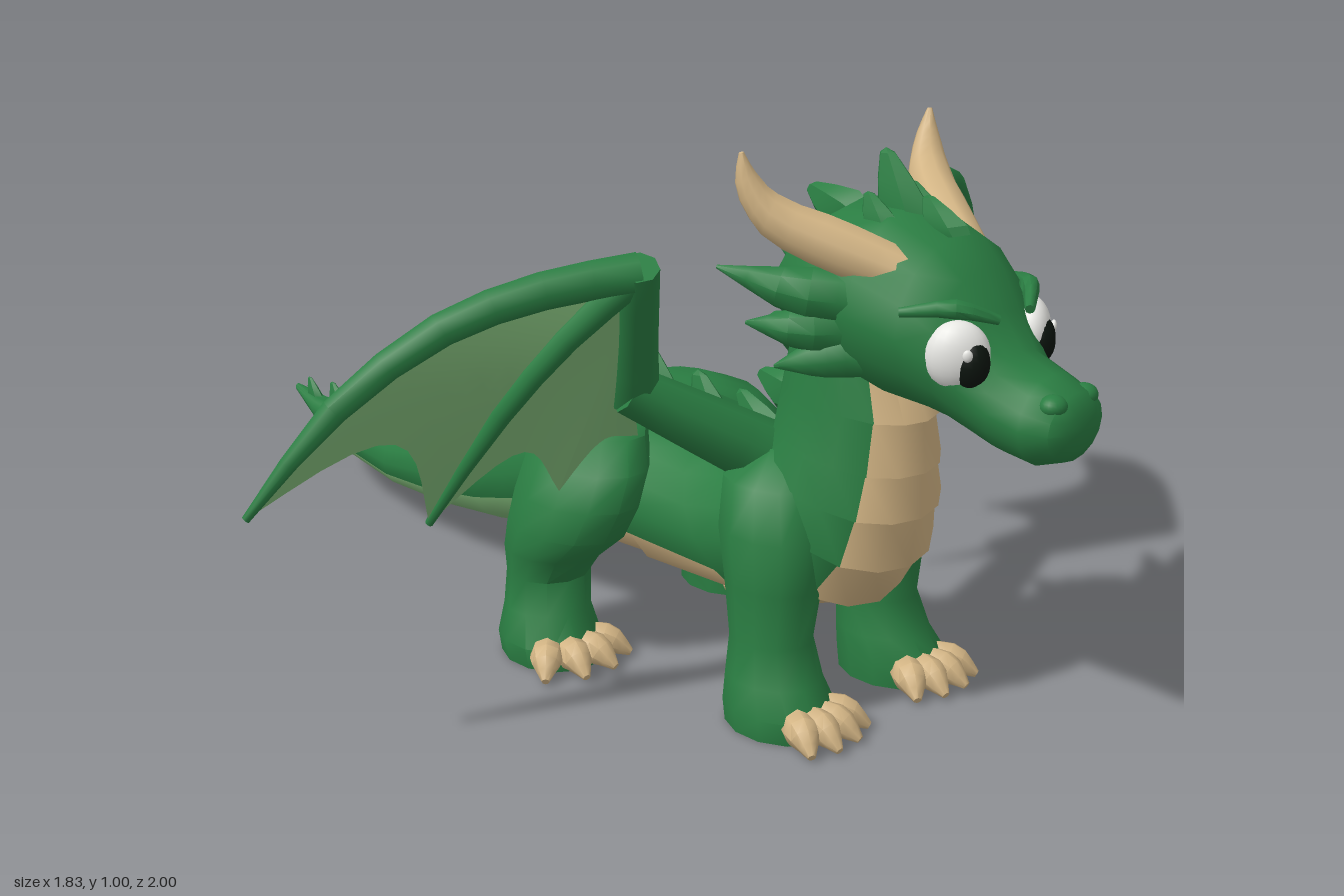
import * as THREE from 'three';
import { toCreasedNormals } from 'three/addons/utils/BufferGeometryUtils.js';

const V = (x, y, z) => new THREE.Vector3(x, y, z);
const paint = (name, color, extra = {}) => {
  const m = new THREE.MeshStandardMaterial({ color, ...extra });
  m.name = name;
  return m;
};

export function createModel() {
  const model = new THREE.Group();
  model.name = 'dragon';
  const green = paint('scale green', 0x2a7d42);
  const tan = paint('horn tan', 0xd2b484);
  const pale = paint('membrane green', 0x82ba7a, { side: THREE.DoubleSide });
  const white = paint('eye white', 0xe8e8e4);
  const dark = paint('pupil black', 0x0c140e);

  function add(name, geo, mat, parent = model) {
    const mesh = new THREE.Mesh(geo, mat);
    mesh.name = name;
    parent.add(mesh);
    return mesh;
  }

  // Closed skin through rings of points; pick(i, j) gives the material index of a face.
  function loft(rings, pick = () => 0) {
    const n = rings[0].length, tris = [];
    const tri = (a, b, c, m) => {
      const area = b.clone().sub(a).cross(c.clone().sub(a)).length();
      if (area > 1e-9) tris.push({ p: [a, b, c], m });
    };
    for (let i = 0; i < rings.length - 1; i++) for (let j = 0; j < n; j++) {
      const k = (j + 1) % n, r = rings[i], s = rings[i + 1], m = pick(i, j);
      tri(r[j], r[k], s[k], m);
      tri(r[j], s[k], s[j], m);
    }
    for (const end of [0, rings.length - 1]) {
      const r = rings[end], c = V(0, 0, 0);
      r.forEach(p => c.addScaledVector(p, 1 / n));
      for (let j = 0; j < n; j++) {
        const k = (j + 1) % n;
        if (end) tri(c, r[j], r[k], 0); else tri(c, r[k], r[j], 0);
      }
    }
    const o = rings[0][0];
    let volume = 0;
    for (const { p: [a, b, c] } of tris) {
      volume += a.clone().sub(o).dot(b.clone().sub(o).cross(c.clone().sub(o)));
    }
    tris.sort((a, b) => a.m - b.m);
    const pts = tris.flatMap(({ p }) => volume < 0 ? [p[0], p[2], p[1]] : p);
    const geo = new THREE.BufferGeometry().setFromPoints(pts);
    for (let m = 0; m < 3; m++) {
      const first = tris.findIndex(t => t.m === m);
      if (first >= 0) geo.addGroup(first * 3, tris.filter(t => t.m === m).length * 3, m);
    }
    return toCreasedNormals(geo, 0.8);
  }

  // Ring from a top point and a bottom point on the centre plane, plus a half width.
  const N = 16;
  function ring([tz, ty, bz, by, w], bulge = 1) {
    const c = V(0, (ty + by) / 2, (tz + bz) / 2), d = V(0, by, bz).sub(c), pts = [];
    for (let j = 0; j < N; j++) {
      const a = j / N * Math.PI * 2, k = Math.cos(a) > 0.7 ? bulge : 1;
      pts.push(V(Math.sin(a) * w, 0, 0).addScaledVector(d, Math.cos(a)).multiplyScalar(k).add(c));
    }
    return pts;
  }

  // Tapered limb along a curve.
  function taper(points, radii, sides = 8, steps = 8) {
    const curve = new THREE.CatmullRomCurve3(points.map(p => V(...p)));
    const { normals, binormals } = curve.computeFrenetFrames(steps);
    const rings = [];
    for (let i = 0; i <= steps; i++) {
      const t = i / steps, c = curve.getPoint(t), f = t * (radii.length - 1);
      const q = Math.min(Math.floor(f), radii.length - 2);
      const r = THREE.MathUtils.lerp(radii[q], radii[q + 1], f - q);
      rings.push(Array.from({ length: sides }, (_, j) => {
        const a = j / sides * Math.PI * 2;
        return c.clone().addScaledVector(normals[i], Math.cos(a) * r).addScaledVector(binormals[i], Math.sin(a) * r);
      }));
    }
    return loft(rings);
  }

  // Neck, torso and tail, with stepped belly plates and a pale tail underside.
  const spine = [
    [.45, .73, .66, .64, .10], [.42, .58, .695, .55, .112], [.41, .50, .695, .46, .13],
    [.39, .455, .69, .38, .15], [.36, .43, .67, .29, .165], [.31, .42, .61, .21, .17],
    [.24, .41, .44, .155, .165], [.12, .425, .2, .16, .168], [0, .445, .02, .165, .175],
    [-.08, .43, -.08, .15, .16], [-.18, .385, -.18, .12, .143], [-.29, .325, -.29, .098, .125],
    [-.45, .262, -.45, .08, .108], [-.61, .212, -.61, .075, .082], [-.8, .19, -.8, .098, .05],
    [-.92, .19, -.92, .14, .026], [-1, .2, -1, .185, .007]];
  const bodyRings = [];
  spine.forEach((s, i) => {
    if (i > 0 && i < 9) bodyRings.push(ring(s, 1.06));
    bodyRings.push(ring(s));
  });
  add('body', loft(bodyRings, (i, j) => {
    const a = Math.min(j + 0.5, N - j - 0.5);
    if (a > (i < 12 ? 2 : 3)) return 0;
    return i < 16 ? 1 : 2;
  }), [green, tan, pale]);

  // Head with snout
  const head = [[1, .64, .58, .045], [.985, .668, .557, .072], [.94, .687, .54, .087],
    [.88, .71, .548, .092], [.84, .765, .565, .114], [.8, .825, .58, .135], [.75, .87, .59, .154],
    [.66, .905, .595, .165], [.56, .9, .62, .16], [.48, .85, .66, .125], [.43, .79, .7, .07]];
  add('head', loft(head.map(([z, t, b, w]) => ring([z, t, z, b, w]))), green);

  // Dorsal spikes: leaning six-sided leaves with a steep rear
  function spike(name, x, y, z, h, w, l, tilt) {
    const profile = [[.9, -.3], [1, 0], [.66, .5], [.28, .92], [0, 1]].map(p => new THREE.Vector2(...p));
    const geo = new THREE.LatheGeometry(profile, 6).scale(w, h, l);
    const p = geo.attributes.position;
    for (let i = 0; i < p.count; i++) p.setZ(i, p.getZ(i) - p.getY(i) / h * l * 0.6);
    const mesh = add(name, toCreasedNormals(geo, 0.5), green);
    mesh.position.set(x, y, z);
    mesh.rotation.x = tilt;
  }
  [[.24, .41, .11, .065], [.1, .43, .13, .065], [-.06, .425, .075, .065], [-.25, .335, .07, .06],
    [-.4, .275, .06, .052], [-.575, .215, .06, .05], [-.75, .19, .06, .042], [-.855, .185, .05, .032],
    [-.94, .187, .04, .024]].forEach(([z, y, h, l]) => spike('backSpike', 0, y, z, h, l * .5, l, -0.1));
  [[.87, .51, .07, -.8], [.78, .46, .07, -1.1], [.64, .43, .07, -1], [.53, .41, .07, -.9], [.44, .36, .09, -.5]]
    .forEach(([y, z, h, tilt]) => spike('neckSpike', 0, y, z, h, .03, .05, tilt));
  spike('crestSpike', 0, .89, .64, .1, .035, .055, -.1);
  spike('browSpike', 0, .88, .72, .05, .025, .045, -.2);

  // Leg: ellipse sections [y, cx, cz, rx, rz] and a fan of claws
  function leg(name, s, sections, clawX, clawZ, fan) {
    const group = new THREE.Group();
    group.name = name;
    model.add(group);
    const rings = sections.map(([y, cx, cz, rx, rz]) => Array.from({ length: 12 }, (_, j) => {
      const a = (j + .5) / 12 * Math.PI * 2;
      return V(s * (cx + Math.cos(a) * rx), y, cz + Math.sin(a) * rz);
    }));
    add(name + 'Limb', loft(rings), green, group);
    for (const a of fan) {
      const at = (r, y) => [s * (clawX + Math.sin(a) * r), y, clawZ + Math.cos(a) * r];
      add('claw', taper([at(.07, .032), at(.11, .03), at(.15, .009)], [.03, .03, .007], 8, 5), tan, group);
    }
  }

  const ball = new THREE.SphereGeometry(1, 20, 14);
  function blob(name, mat, pos, size, parent) {
    const m = add(name, ball, mat, parent);
    m.position.set(...pos);
    m.scale.set(...size);
  }

  for (const s of [1, -1]) {
    const side = s > 0 ? 'left' : 'right';
    const flip = pts => pts.map(([x, y, z]) => [s * x, y, z]);

    leg(side + 'FrontLeg', s, [[0, .15, .53, .083, .1], [.04, .15, .53, .087, .105], [.085, .145, .512, .077, .088],
      [.15, .14, .5, .066, .076], [.25, .137, .5, .077, .088], [.34, .132, .49, .08, .1],
      [.42, .115, .47, .07, .09], [.47, .08, .46, .04, .05]], .15, .535, [-.6, -.23, .14, .5]);
    leg(side + 'HindLeg', s, [[0, .235, .055, .083, .098], [.04, .238, .055, .088, .1], [.09, .225, .035, .077, .08],
      [.15, .215, .028, .077, .075], [.2, .216, .045, .086, .095], [.25, .212, .075, .094, .122],
      [.31, .2, .09, .095, .132], [.37, .175, .09, .092, .13], [.42, .145, .08, .08, .105],
      [.45, .09, .07, .06, .07]], .235, .05, [-.6, -.15, .3, .8]);

    // Horn, ear frill and brow
    add(side + 'Horn', taper(flip([[.08, .815, .71], [.14, .855, .61], [.2, .9, .53], [.225, .95, .505],
      [.235, 1, .5]]), [.038, .045, .036, .022, .004], 10, 10), tan);
    [[[.11, .77, .65], [.18, .78, .57], [.245, .81, .46]], [[.11, .72, .63], [.18, .72, .58], [.23, .725, .51]],
      [[.11, .68, .64], [.16, .67, .6], [.205, .655, .55]]].forEach((p, i) =>
      add(side + 'EarFrill', taper(flip(p), [.045, .042 - i * .004, .003], 8, 5), green));
    add(side + 'Brow', taper(flip([[.04, .765, .862], [.095, .785, .82], [.145, .775, .75]]), [.008, .016, .008], 8, 6), green);
    spike(side + 'CrestSpike', s * .055, .875, .64, .055, .025, .04, -.15);

    // Eye and nostril
    const eye = new THREE.Group();
    eye.name = side + 'Eye';
    eye.position.set(s * .094, .712, .826);
    eye.rotation.y = s * .76;
    model.add(eye);
    blob('eyeball', white, [0, 0, 0], [.052, .056, .034], eye);
    blob('pupil', dark, [s * -.019, -.01, .01], [.031, .042, .029], eye);
    blob('glint', white, [s * -.01, .01, .036], [.008, .01, .005], eye);
    blob(side + 'Nostril', green, [s * .04, .652, .97], [.024, .018, .022]);

    // Wing bones
    const wing = new THREE.Group();
    wing.name = side + 'Wing';
    model.add(wing);
    const wrist = [.37, .815, .41];
    const finger1 = [wrist, [.5, .795, .33], [.64, .745, .25], [.79, .63, .17], [.91, .46, .09]];
    const finger2 = [wrist, [.46, .71, .34], [.53, .58, .26], [.585, .375, .14]];
    const inner = [wrist, [.37, .62, .33], [.395, .41, .25]];
    const arm = [wrist, [.28, .575, .31], [.17, .44, .21]];
    add('upperArm', taper(flip([[.08, .44, .43], [.18, .505, .375], [.295, .58, .31]]), [.06, .052, .042], 8, 4), green, wing);
    add('forearm', taper(flip([[.275, .56, .305], [.325, .69, .36], [.375, .825, .415]]), [.042, .036, .034], 8, 4), green, wing);
    add('leadingFinger', taper(flip(finger1), [.034, .032, .029, .023, .007], 8, 8), green, wing);
    add('middleFinger', taper(flip(finger2), [.028, .022, .018, .007], 8, 6), green, wing);

    // Wing membrane: panels between neighbouring bones, scalloped at the free edge
    [[finger1, finger2, .2], [finger2, inner, .2], [inner, arm, .16]].forEach(([a, b, cut]) => {
      const ca = new THREE.CatmullRomCurve3(flip(a).map(p => V(...p)));
      const cb = new THREE.CatmullRomCurve3(flip(b).map(p => V(...p)));
      const geo = new THREE.PlaneGeometry(1, 1, 10, 10), p = geo.attributes.position;
      for (let i = 0; i < p.count; i++) {
        const u = p.getX(i) + .5, t = (p.getY(i) + .5) * (1 - cut * Math.sin(Math.PI * u));
        const q = ca.getPoint(t).lerp(cb.getPoint(t), u);
        p.setXYZ(i, q.x, q.y, q.z);
      }
      geo.computeVertexNormals();
      add('membrane', geo, pale, wing);
    });
  }
  return model;
}
